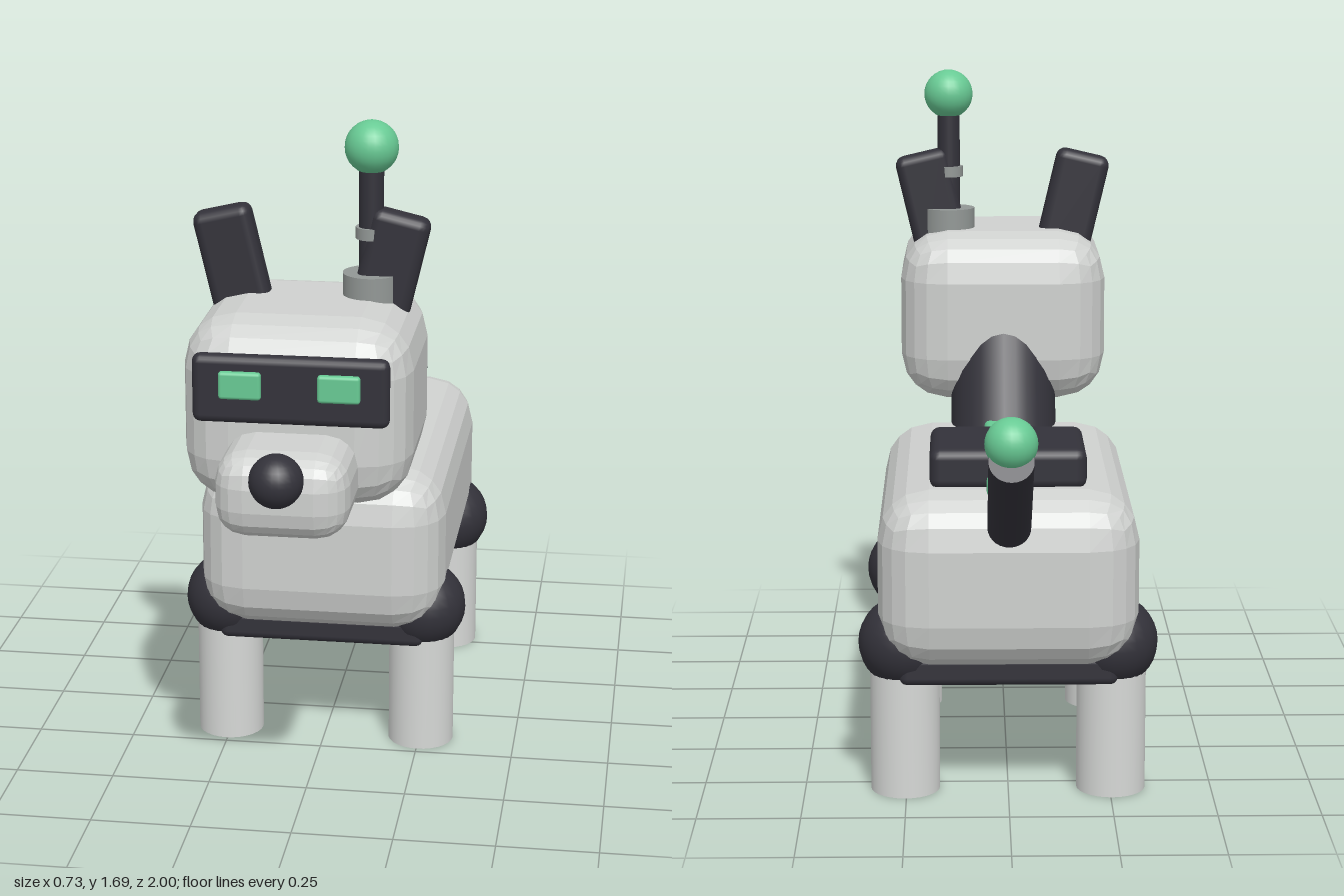
import * as THREE from 'three';
import { RoundedBoxGeometry } from 'three/addons/geometries/RoundedBoxGeometry.js';

export function createModel() {
  const model = new THREE.Group();
  model.name = 'robotDog';

  const material = (name, color, flatShading = false) => {
    const m = new THREE.MeshStandardMaterial({ color, flatShading });
    m.name = name;
    return m;
  };
  const shell = material('light grey shell', 0xcfd1cf, true);
  const limb = material('pale grey limb', 0xd6d8d6);
  const dark = material('charcoal', 0x33323a);
  const green = material('mint green', 0x68ca94);
  const metal = material('mid grey metal', 0x929795);

  const add = (name, geometry, mat, x, y, z) => {
    const mesh = new THREE.Mesh(geometry, mat);
    mesh.name = name;
    mesh.position.set(x, y, z);
    model.add(mesh);
    return mesh;
  };
  const box = (name, mat, [w, h, d], radius, [x, y, z], segments = 2) =>
    add(name, new RoundedBoxGeometry(w, h, d, segments, radius), mat, x, y, z);
  const ball = (name, mat, r, x, y, z) =>
    add(name, new THREE.SphereGeometry(r, 24, 16), mat, x, y, z);
  // Cylinder running between two points
  const rod = (name, mat, r, from, to) => {
    const a = new THREE.Vector3(...from);
    const b = new THREE.Vector3(...to);
    const mid = a.clone().add(b).multiplyScalar(0.5);
    const mesh = add(name, new THREE.CylinderGeometry(r, r, a.distanceTo(b), 28), mat, mid.x, mid.y, mid.z);
    mesh.quaternion.setFromUnitVectors(new THREE.Vector3(0, 1, 0), b.sub(a).normalize());
    return mesh;
  };

  // Torso
  box('body', shell, [0.632, 0.435, 1.012], 0.125, [0, 0.548, -0.195]);
  box('belly', dark, [0.53, 0.075, 0.88], 0.02, [0, 0.326, -0.195]);
  box('spineStripe', green, [0.105, 0.045, 0.76], 0.015, [0, 0.775, -0.24]);
  box('backPack', dark, [0.38, 0.1, 0.295], 0.025, [0, 0.807, -0.412]);

  // Legs with round joints
  for (const side of [-1, 1]) {
    for (const [end, z] of [['front', 0.147], ['back', -0.535]]) {
      ball(`${end}Joint`, dark, 0.113, side * 0.253, 0.375, z);
      rod(`${end}Leg`, limb, 0.085, [side * 0.253, 0, z], [side * 0.253, 0.34, z]);
    }
  }

  // Neck and head
  rod('neck', dark, 0.14, [0, 0.712, 0.166], [0, 0.99, 0.312]);
  box('head', shell, [0.548, 0.455, 0.552], 0.125, [0, 1.041, 0.441]);
  box('muzzle', shell, [0.314, 0.205, 0.3], 0.075, [0, 0.913, 0.77]);
  ball('nose', dark, 0.063, 0, 0.974, 0.937);
  box('visor', dark, [0.464, 0.165, 0.045], 0.02, [0, 1.121, 0.716]);

  for (const side of [-1, 1]) {
    box('eye', green, [0.1, 0.066, 0.03], 0.008, [side * 0.116, 1.135, 0.738]);
    const ear = box('ear', dark, [0.145, 0.3, 0.075], 0.025, [side * 0.188, 1.325, 0.38]);
    ear.rotation.z = -side * 0.23;
  }

  // Antenna
  const ax = 0.145, az = 0.38;
  rod('antennaBase', metal, 0.069, [ax, 1.22, az], [ax, 1.322, az]);
  rod('antennaRod', dark, 0.03, [ax, 1.3, az], [ax, 1.6, az]);
  rod('antennaRing', metal, 0.038, [ax, 1.407, az], [ax, 1.435, az]);
  ball('antennaTip', green, 0.065, ax, 1.629, az);

  // Tail
  rod('tail', dark, 0.052, [0, 0.7, -0.69], [0, 0.922, -0.963]);
  ball('tailTip', green, 0.061, 0, 0.957, -0.934);

  return model;
}
